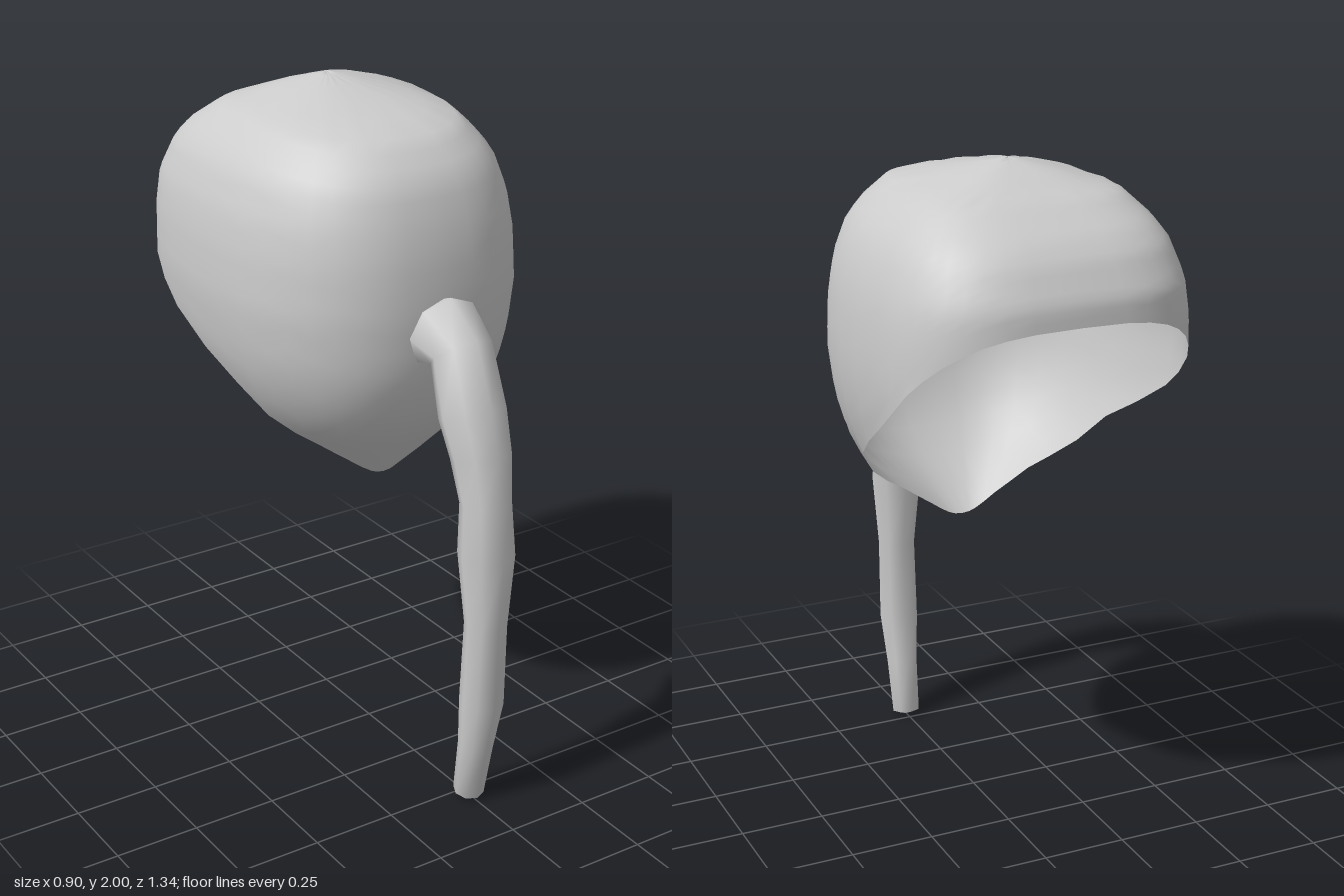
import * as THREE from 'three';

// Height, half width, front z and back z of the hair cap's cross-sections
const SECTIONS = [
  [2.0, 0, -0.22, -0.22], [1.97, 0.13, -0.06, -0.32], [1.92, 0.29, 0.19, -0.45],
  [1.85, 0.36, 0.27, -0.56], [1.8, 0.395, 0.31, -0.61], [1.7, 0.43, 0.345, -0.665],
  [1.6, 0.445, 0.365, -0.672], [1.45, 0.45, 0.375, -0.67], [1.3, 0.43, 0.365, -0.66],
  [1.2, 0.4, 0.34, -0.65], [1.1, 0.35, 0.29, -0.62], [1.05, 0.31, 0.25, -0.6],
  [0.95, 0.19, 0.16, -0.55], [0.87, 0.1, 0.08, -0.5],
];
// Hairline as z, y
const HAIRLINE = [
  [0.08, 0.87], [0.075, 0.92], [0.05, 1.0], [-0.02, 1.08], [-0.1, 1.18], [-0.2, 1.24],
  [-0.32, 1.31], [-0.43, 1.4], [-0.6, 1.57], [-0.67, 1.64],
];
// Ponytail stations as z, y, radius
const TAIL = [
  [0.29, 1.41, 0], [0.295, 1.41, 0.06], [0.375, 1.4, 0.112], [0.455, 1.37, 0.09],
  [0.512, 1.21, 0.096], [0.555, 1.1, 0.086], [0.582, 0.97, 0.073], [0.59, 0.82, 0.081],
  [0.595, 0.6, 0.061], [0.584, 0.35, 0.064], [0.56, 0.19, 0.051], [0.531, 0.022, 0.045],
  [0.529, 0.005, 0],
];

// Linear lookup in a table whose first column descends
function lookup(table, key, column) {
  if (key >= table[0][0]) return table[0][column];
  for (let i = 1; i < table.length; i++) {
    const p = table[i - 1], q = table[i];
    if (key >= q[0]) return THREE.MathUtils.lerp(q[column], p[column], (key - q[0]) / (p[0] - q[0]));
  }
  return table[table.length - 1][column];
}

// Closed-round surface through rings of points
function loft(rows, sides, pointAt) {
  const positions = [], index = [];
  for (let i = 0; i < rows; i++) {
    for (let j = 0; j < sides; j++) {
      positions.push(...pointAt(i, j));
      if (i === rows - 1) continue;
      const a = i * sides + j, c = i * sides + (j + 1) % sides;
      index.push(a, a + sides, c, c, a + sides, c + sides);
    }
  }
  const geometry = new THREE.BufferGeometry();
  geometry.setAttribute('position', new THREE.Float32BufferAttribute(positions, 3));
  geometry.setIndex(index);
  geometry.computeVertexNormals();
  return geometry;
}

// Point of the cap at one angle and height: rounder in front, squarer behind
function capPoint(angle, y) {
  const s = Math.sin(angle), c = Math.cos(angle), front = c >= 0;
  const power = 2 / (front ? 2.5 : 3.1), middle = -0.22;
  const x = Math.sign(s) * Math.abs(s) ** power * lookup(SECTIONS, y, 1);
  const z = middle + Math.abs(c) ** power * (lookup(SECTIONS, y, front ? 2 : 3) - middle);
  return [x, y, z];
}

// Height at which the cap meets the hairline
function hairlineHeight(angle) {
  let low = 0.87, high = 2;
  for (let k = 0; k < 30; k++) {
    const y = (low + high) / 2;
    if (y < lookup(HAIRLINE, capPoint(angle, y)[2], 1)) low = y;
    else high = y;
  }
  return high;
}

function capGeometry() {
  const sides = 40, rows = 25;
  const angles = Array.from({ length: sides }, (_, j) => j / sides * Math.PI * 2);
  const ends = angles.map(hairlineHeight);
  return loft(rows, sides, (i, j) => {
    const t = i / (rows - 1);
    const point = capPoint(angles[j], 2 - (2 - ends[j]) * t ** 1.6);
    // Faint creases gathered at the crown
    if (i > 0 && point[1] > 1.93) point[1] -= 0.004 * (j % 2);
    return point;
  });
}

function tailGeometry() {
  const sides = 8;
  return loft(TAIL.length, sides, (i, j) => {
    const [z, y, r] = TAIL[i];
    const p = TAIL[Math.max(i - 1, 0)], q = TAIL[Math.min(i + 1, TAIL.length - 1)];
    const tangent = new THREE.Vector2(q[0] - p[0], q[1] - p[1]).normalize();
    const angle = -j / sides * Math.PI * 2, up = r * Math.sin(angle);
    return [r * Math.cos(angle), y + up * tangent.x, z - up * tangent.y];
  });
}

export function createModel() {
  const hair = new THREE.MeshStandardMaterial({ color: 0xcccccc, side: THREE.DoubleSide });
  hair.name = 'hair grey';
  const model = new THREE.Group();
  model.name = 'ponytailHair';
  const add = (name, geometry) => {
    const mesh = new THREE.Mesh(geometry, hair);
    mesh.name = name;
    model.add(mesh);
  };
  add('hairCap', capGeometry());
  add('ponytail', tailGeometry());
  return model;
}
